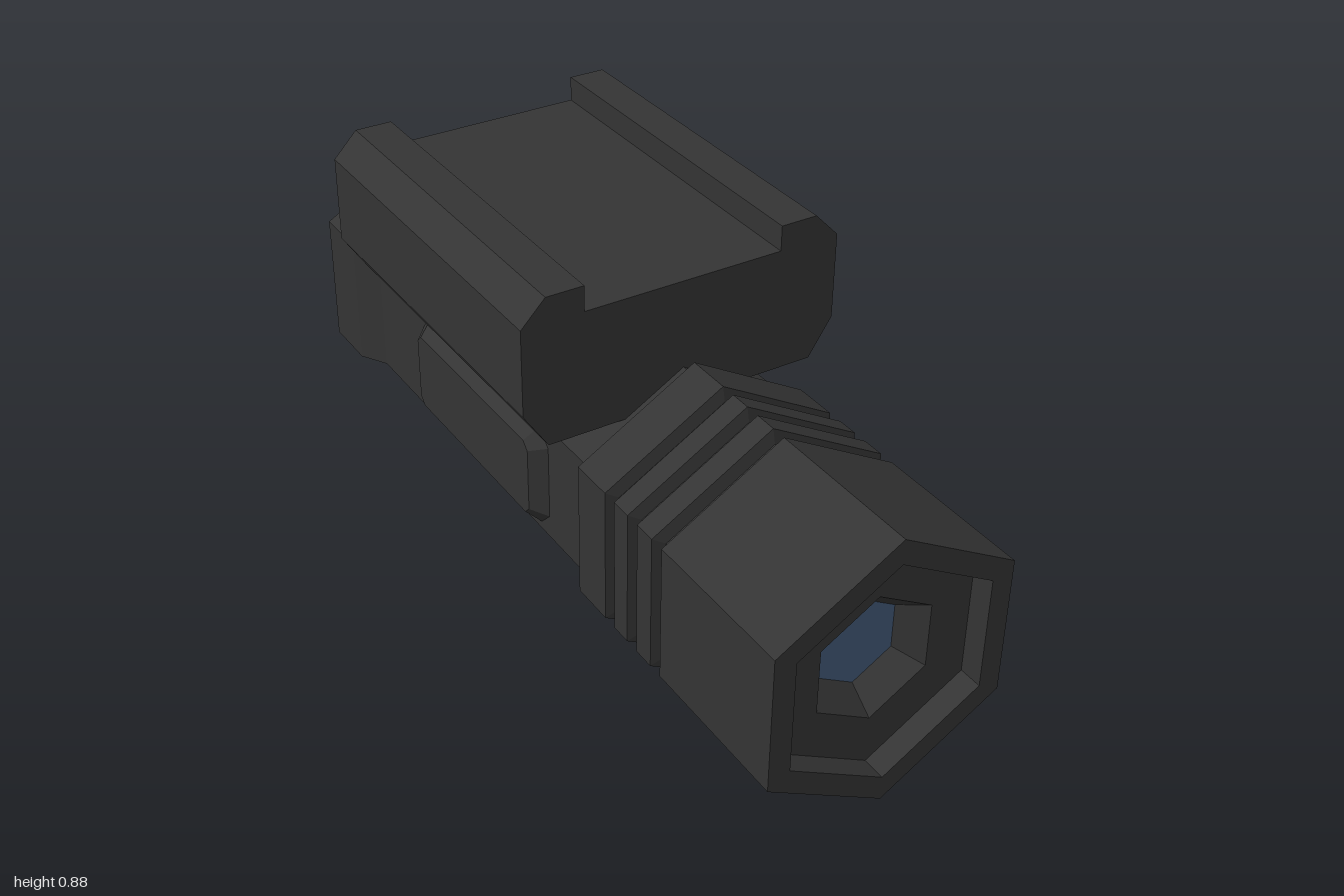
import * as THREE from 'three';

const AXIS_Y = 0.325;

export function createModel() {
  const model = new THREE.Group();
  model.name = 'railFlashlight';

  const casing = new THREE.MeshStandardMaterial({ color: 0x343434, flatShading: true });
  casing.name = 'dark grey casing';
  const glass = new THREE.MeshStandardMaterial({ color: 0x435a78, flatShading: true });
  glass.name = 'blue lens';

  const add = (name, geometry, material) => {
    const mesh = new THREE.Mesh(geometry, material);
    mesh.name = name;
    model.add(mesh);
    return mesh;
  };

  // Six-sided part along z from [radius, z] pairs, listed back to front
  const hexPart = (name, profile, material) => {
    const points = profile.map(([r, z]) => new THREE.Vector2(r, z));
    const geometry = new THREE.LatheGeometry(points, 6).rotateX(Math.PI / 2);
    add(name, geometry, material).position.y = AXIS_Y;
  };

  // Body: recessed tail, flared tail cap, slim grip, grooved head, recessed bezel
  const R = 0.323, r = 0.29;
  const grooves = [0.425, 0.512, 0.602].flatMap((z) => [
    [R, z - 0.018], [r, z - 0.01], [r, z + 0.01], [R, z + 0.018],
  ]);
  hexPart('body', [
    [0, -0.88], [0.245, -0.88], [0.245, -0.94], [R, -0.94], [R, -0.8], [r, -0.71],
    [r, 0.3], [R, 0.3], ...grooves, [R, 1],
    [0.265, 1], [0.265, 0.945], [0.152, 0.945], [0.105, 0.885],
  ], casing);
  hexPart('tailButton', [[0, -1], [0.13, -1], [0.17, -0.97], [0.17, -0.88]], casing);
  hexPart('lens', [[0.106, 0.885], [0, 0.885]], glass);

  // Rail mount with two hooked lips
  const half = [[0.325, 0.533], [0.382, 0.62], [0.382, 0.823], [0.325, 0.882], [0.237, 0.882], [0.237, 0.823]];
  const outline = [...half, ...half.map(([x, y]) => [-x, y]).reverse()];
  const mountShape = new THREE.Shape(outline.map(([x, y]) => new THREE.Vector2(x, y)));
  const mount = new THREE.ExtrudeGeometry(mountShape, { depth: 0.875, bevelEnabled: false });
  add('railMount', mount.translate(0, 0, -0.615), casing);

  // Side pads: chamfered rectangles that taper outwards
  const w = 0.265, h = 0.095, c = 0.018;
  const padShape = new THREE.Shape([
    [w - c, -h], [w, c - h], [w, h - c], [w - c, h],
    [c - w, h], [-w, h - c], [-w, c - h], [c - w, -h],
  ].map(([x, y]) => new THREE.Vector2(x, y)));
  for (const side of [-1, 1]) {
    const pad = new THREE.ExtrudeGeometry(padShape, {
      depth: 0.02, bevelThickness: 0.034, bevelSize: 0.032, bevelSegments: 1,
    });
    pad.translate(0, 0, 0.231).rotateY(side * Math.PI / 2);
    add(side > 0 ? 'leftPad' : 'rightPad', pad, casing).position.set(0, AXIS_Y, -0.175);
  }
  return model;
}
